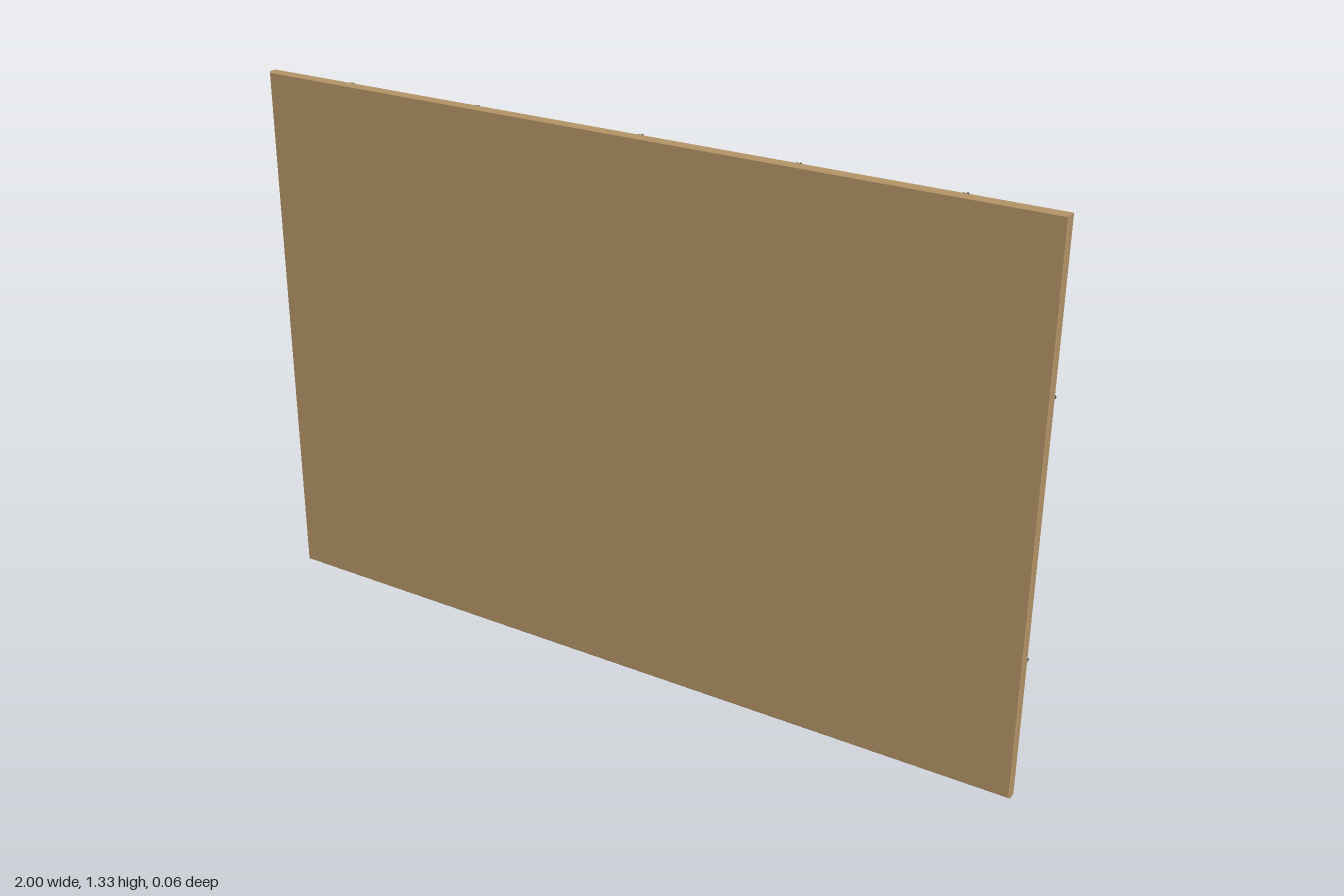
import * as THREE from 'three';

const WIDTH = 2, HEIGHT = 1.333, WIRE_Z = -0.003;
const wood = new THREE.MeshStandardMaterial({ color: 0xb69668 });
wood.name = 'tan board';
const steel = new THREE.MeshStandardMaterial({ color: 0x707275, side: THREE.DoubleSide });
steel.name = 'grey wire';

// One strand winding around a wavy centre line.
class Strand extends THREE.Curve {
  constructor(centre, length, vertical, phase) {
    super();
    Object.assign(this, { centre, length, vertical, phase });
    this.arcLengthDivisions = 1200;
  }
  getPoint(t, target = new THREE.Vector3()) {
    const a = this.phase + (t * this.length / 0.05) * Math.PI * 2;
    const side = 0.0033 * Math.cos(a);
    this.centre(t, target);
    if (this.vertical) target.x += side; else target.y += side;
    target.z += 0.0033 * Math.sin(a);
    return target;
  }
}

// Barb: a small wrapped collar with two crossed, slightly skewed spikes.
const collarGeo = new THREE.CylinderGeometry(0.0075, 0.0075, 0.01, 8);
const spikeGeo = new THREE.CylinderGeometry(0.0012, 0.0026, 0.03, 5).translate(0, 0.015, 0);
const UP = new THREE.Vector3(0, 1, 0);

function makeBarb(roll) {
  const barb = new THREE.Group();
  barb.name = 'barb';
  const collar = new THREE.Mesh(collarGeo, steel);
  collar.name = 'barbCollar';
  barb.add(collar);
  for (let i = 0; i < 4; i++) {
    const a = roll + i * Math.PI / 2;
    const spike = new THREE.Mesh(spikeGeo, steel);
    spike.name = 'barbSpike';
    spike.position.y = i % 2 ? 0.002 : -0.002;
    spike.quaternion.setFromUnitVectors(UP,
      new THREE.Vector3(Math.cos(a), i < 2 ? 0.12 : -0.12, Math.sin(a)).normalize());
    barb.add(spike);
  }
  return barb;
}

function makeWire(name, centre, length, vertical, barbParams) {
  const wire = new THREE.Group();
  wire.name = name;
  for (const phase of [0, Math.PI]) {
    const strand = new THREE.Mesh(new THREE.TubeGeometry(
      new Strand(centre, length, vertical, phase), Math.round(length / 0.007), 0.0035, 6), steel);
    strand.name = 'twistedStrand';
    wire.add(strand);
  }
  const a = new THREE.Vector3(), b = new THREE.Vector3();
  barbParams.forEach((t, i) => {
    // Each barb is rolled a little further round the wire than the last.
    const barb = makeBarb(0.2 + i * 0.45);
    centre(t, barb.position);
    // Align the collar with the local wire direction.
    centre(t - 0.005, a);
    centre(t + 0.005, b);
    barb.quaternion.setFromUnitVectors(UP, b.sub(a).normalize());
    wire.add(barb);
  });
  return wire;
}

export function createModel() {
  const model = new THREE.Group();
  model.name = 'barbedWireBoard';

  // Board with a fine chamfer
  const c = 0.003, w = WIDTH / 2 - c;
  const shape = new THREE.Shape([
    new THREE.Vector2(-w, c), new THREE.Vector2(w, c),
    new THREE.Vector2(w, HEIGHT - c), new THREE.Vector2(-w, HEIGHT - c),
  ]);
  const boardGeo = new THREE.ExtrudeGeometry(shape, {
    depth: 0.026 - 2 * c, bevelEnabled: true, bevelThickness: c, bevelSize: c, bevelSegments: 1,
  }).translate(0, 0, 0.004 + c);
  const board = new THREE.Mesh(boardGeo, wood);
  board.name = 'board';
  model.add(board);

  // Horizontal wires: height of the centre line, position of a crest and wavelength
  const span = WIDTH - 0.006;
  const rowBarbs = Array.from({ length: 12 }, (_, i) => 0.5 + (i / 6 - 0.933) / span);
  for (const [y, crest, wave] of [[0.963, 0.24, 1.16], [0.365, 0.48, 1.18]]) {
    const centre = (t, v) => {
      const x = (t - 0.5) * span;
      return v.set(x, y + 0.034 * Math.cos((x - crest) / wave * Math.PI * 2), WIRE_Z);
    };
    model.add(makeWire('horizontalWire', centre, span, false, rowBarbs));
  }

  // Vertical wires, each wave shifted down from the last
  const rise = HEIGHT - 0.006;
  const columnBarbs = Array.from({ length: 8 }, (_, i) => (0.097 + i * 0.1665) / rise);
  [0.796, 0.41, 0.01, -0.428, -0.778].forEach((x, i) => {
    const crest = 0.75 - 0.14 * i;
    const centre = (t, v) => {
      const y = 0.003 + t * rise;
      return v.set(x + 0.024 * Math.cos((y - crest) / 0.95 * Math.PI * 2), y, WIRE_Z);
    };
    model.add(makeWire('verticalWire', centre, rise, true, columnBarbs));
  });

  return model;
}
